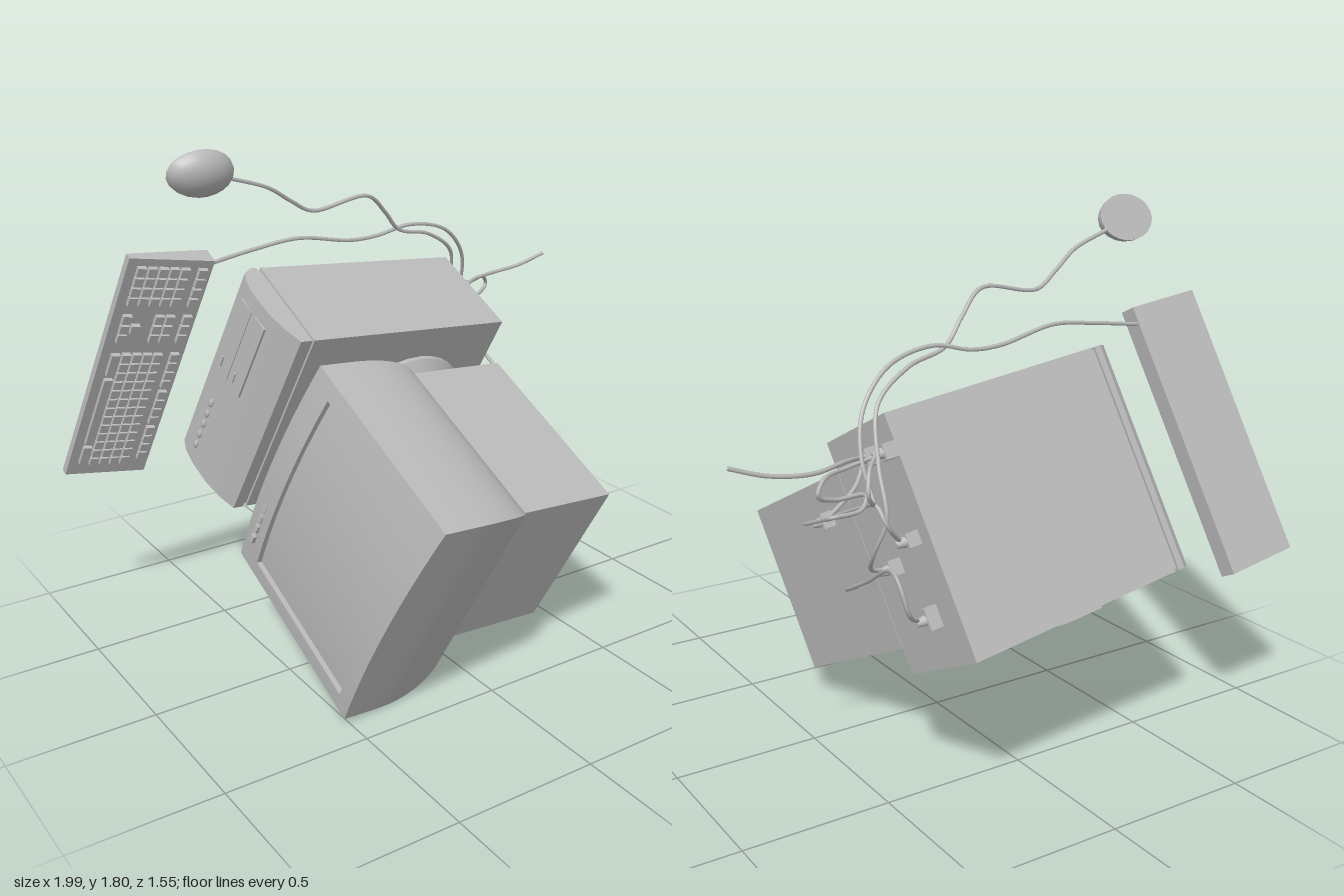
import * as THREE from 'three';
import { toCreasedNormals } from 'three/addons/utils/BufferGeometryUtils.js';

const casingGrey = new THREE.MeshStandardMaterial({ color: 0xbababa });
casingGrey.name = 'casingGrey';

function add(parent, name, geometry) {
  const mesh = new THREE.Mesh(geometry, casingGrey);
  mesh.name = name;
  parent.add(mesh);
  return mesh;
}

// Box given by its extents on each axis
function block(parent, name, x0, x1, y0, y1, z0, z1, segX = 1) {
  const g = new THREE.BoxGeometry(x1 - x0, y1 - y0, z1 - z0, segX, 1, 1);
  g.translate((x0 + x1) / 2, (y0 + y1) / 2, (z0 + z1) / 2);
  return add(parent, name, g);
}

// Side profile of [z, y] points swept across the width
function sweepX(profile, x0, x1) {
  const shape = new THREE.Shape(profile.map(p => new THREE.Vector2(p[0], p[1])));
  const g = new THREE.ExtrudeGeometry(shape, { depth: x1 - x0, bevelEnabled: false });
  g.rotateY(-Math.PI / 2);
  g.translate(x1, 0, 0);
  return toCreasedNormals(g, 0.5);
}

// Rectangular rings [x0, x1, y0, y1, z] ordered front to back, with a front cap
function loftRects(rings) {
  const pos = [];
  const corners = ([x0, x1, y0, y1, z]) => [[x0, y0, z], [x1, y0, z], [x1, y1, z], [x0, y1, z]];
  const quad = (a, b, c, d) => pos.push(...a, ...b, ...c, ...a, ...c, ...d);
  quad(...corners(rings[0]));
  for (let i = 0; i < rings.length - 1; i++) {
    const f = corners(rings[i]), r = corners(rings[i + 1]);
    for (let k = 0; k < 4; k++) {
      const n = (k + 1) % 4;
      quad(f[k], r[k], r[n], f[n]);
    }
  }
  const g = new THREE.BufferGeometry();
  g.setAttribute('position', new THREE.Float32BufferAttribute(pos, 3));
  g.computeVertexNormals();
  return toCreasedNormals(g, 0.6);
}

function buildCase() {
  const g = new THREE.Group();
  g.name = 'desktopCase';
  block(g, 'caseBody', -0.257, 0.52, -0.575, -0.19, -0.447, 0.385);
  block(g, 'caseGroove', -0.249, 0.512, -0.567, -0.198, 0.38, 0.405);
  const panel = [[0.4, -0.575], [0.425, -0.575], [0.462, -0.548], [0.478, -0.5], [0.485, -0.43],
    [0.48, -0.33], [0.464, -0.255], [0.438, -0.19], [0.4, -0.19]];
  add(g, 'caseFrontPanel', sweepX(panel, -0.257, 0.52));
  // Drive slots and buttons
  for (const y of [-0.36, -0.45]) {
    block(g, 'driveDoor', -0.2, 0.1, y - 0.035, y + 0.035, 0.47, 0.487);
    block(g, 'driveLatch', 0.04, 0.08, y - 0.028, y - 0.016, 0.48, 0.492);
  }
  for (let i = 0; i < 5; i++) {
    const b = add(g, 'panelButton', new THREE.SphereGeometry(0.018, 10, 6));
    b.scale.set(1, 0.7, 0.4);
    b.position.set(0.24 + i * 0.05, -0.45, 0.486);
  }
  return g;
}

function buildMonitor() {
  const g = new THREE.Group();
  g.name = 'monitor';
  block(g, 'monitorBody', -0.166, 0.446, -0.075, 0.595, -0.385, 0.06);

  // Front shell narrowing to the body along a quarter ellipse
  const rings = [[-0.28, 0.6, -0.05, 0.688, 0.42]];
  for (let i = 0; i <= 8; i++) {
    const a = i / 8 * Math.PI / 2, s = 1 - Math.cos(a);
    rings.push([-0.28 + 0.114 * s, 0.6 - 0.154 * s, -0.05, 0.688 - 0.093 * s, 0.32 - 0.29 * Math.sin(a)]);
  }
  add(g, 'monitorShell', loftRects(rings));

  // Bezel bars and screen bulge forward across the width
  const bow = (mesh, amount) => {
    const p = mesh.geometry.attributes.position;
    for (let i = 0; i < p.count; i++) {
      const t = (p.getX(i) - 0.16) / 0.44;
      if (p.getZ(i) > 0.425) p.setZ(i, p.getZ(i) + amount * (1 - t * t));
    }
    mesh.geometry = toCreasedNormals(mesh.geometry, 0.5);
  };
  for (const [x0, x1, y0, y1] of [[-0.28, 0.6, 0.63, 0.688], [-0.28, 0.6, -0.05, 0.05],
    [-0.28, -0.22, 0.05, 0.63], [0.54, 0.6, 0.05, 0.63]]) {
    bow(block(g, 'bezelBar', x0, x1, y0, y1, 0.42, 0.455, 12), 0.032);
  }
  bow(block(g, 'screen', -0.22, 0.54, 0.05, 0.63, 0.42, 0.435, 12), 0.035);
  for (let i = 0; i < 4; i++) {
    block(g, 'monitorButton', 0.3 + i * 0.05, 0.33 + i * 0.05, -0.01, 0.01, 0.46, 0.485);
  }

  // Swivel foot
  const foot = [[0, -0.19], [0.27, -0.19], [0.272, -0.175], [0.25, -0.15], [0.22, -0.122], [0.19, -0.1], [0.19, -0.07]];
  const lathe = new THREE.LatheGeometry(foot.map(p => new THREE.Vector2(p[0], p[1])), 32);
  add(g, 'swivelFoot', toCreasedNormals(lathe, 0.6)).position.set(0.14, 0, -0.12);
  return g;
}

function buildKeyboard() {
  const g = new THREE.Group();
  g.name = 'keyboard';
  const profile = [[0.62, -0.575], [0.91, -0.575], [0.91, -0.55], [0.62, -0.515]];
  add(g, 'keyboardBase', sweepX(profile, -0.345, 0.61));
  const tilt = Math.atan2(0.035, 0.29);
  const key = (x, z, w = 0.033, d = 0.03) => {
    const k = add(g, 'key', new THREE.BoxGeometry(w, 0.022, d));
    k.position.set(x, -0.51 - (z - 0.62) * 0.121, z);
    k.rotation.x = tilt;
  };
  const grid = (x0, cols, z0, rows) => {
    for (let r = 0; r < rows; r++) for (let c = 0; c < cols; c++) key(x0 + c * 0.04, z0 + r * 0.037);
  };
  grid(-0.3, 4, 0.655, 1);    // number pad
  grid(-0.3, 4, 0.715, 5);
  grid(-0.105, 3, 0.655, 1);  // navigation and arrows
  grid(-0.105, 3, 0.715, 2);
  grid(-0.105, 3, 0.863, 1);
  key(-0.065, 0.826);
  for (const x of [0.06, 0.23, 0.4]) grid(x, 4, 0.655, 1);  // function row
  grid(0.06, 13, 0.715, 4);   // main block
  key(0.09, 0.863, 0.09);
  key(0.305, 0.863, 0.3);     // long bar
  key(0.51, 0.863, 0.08);
  return g;
}

function buildMouse() {
  const g = new THREE.Group();
  g.name = 'mouse';
  add(g, 'mouseShell', new THREE.SphereGeometry(1, 20, 8, 0, Math.PI * 2, 0, Math.PI / 2));
  add(g, 'mouseBase', new THREE.CircleGeometry(1, 20).rotateX(Math.PI / 2));
  g.scale.set(0.083, 0.072, 0.115);
  g.position.set(-0.648, -0.578, 0.739);
  return g;
}

// Plug pointing out of the back of a housing
function buildPlug(parent, x, y, z, wide) {
  const g = new THREE.Group();
  g.name = 'plug';
  block(g, 'plugHousing', -wide / 2, wide / 2, -0.018, 0.018, -0.045, 0.005);
  const neck = add(g, 'plugNeck', new THREE.CylinderGeometry(0.018, 0.01, 0.035, 10).rotateX(Math.PI / 2));
  neck.position.z = -0.06;
  g.position.set(x, y, z);
  parent.add(g);
}

export function createModel() {
  const root = new THREE.Group();
  root.name = 'computerSet';

  // The whole set is tilted: its back points to +x and its top to +z
  const back = new THREE.Vector3(0.99, -0.11, -0.08).normalize();
  const right = back.clone().cross(new THREE.Vector3(0.023, -0.445, 0.896)).normalize();
  const up = right.clone().cross(back).normalize();
  const set = new THREE.Group();
  set.name = 'tiltedSet';
  set.quaternion.setFromRotationMatrix(new THREE.Matrix4().makeBasis(right, up, back.clone().negate()));
  set.position.set(0, 0.8, 0);
  root.add(set);
  set.add(buildCase(), buildMonitor(), buildKeyboard(), buildMouse());

  // Plugs on the case and monitor backs, placed from a point on the back face
  const plugs = [[0.45, 1.09, -0.37, 0.055, -0.447], [0.45, 1.13, -0.47, 0.05, -0.447],
    [0.416, 0.87, -0.54, 0.045, -0.447], [0.385, 0.635, -0.6, 0.07, -0.447],
    [0.41, 0.745, -0.43, 0.05, -0.447], [0.388, 0.755, 0.05, 0.055, -0.385]];
  for (const [x, y, z, wide, face] of plugs) {
    const q = new THREE.Vector3(x, y - 0.8, z);
    buildPlug(set, q.dot(right), q.dot(up), face, wide);
  }

  const cables = {
    mouseCable: [[-0.55, 1.68, -0.2], [-0.4, 1.63, -0.22], [-0.3, 1.57, -0.25], [-0.2, 1.52, -0.28],
      [0.02, 1.545, -0.29], [0.12, 1.47, -0.33], [0.2, 1.39, -0.36], [0.35, 1.35, -0.39], [0.48, 1.26, -0.43],
      [0.52, 1.1, -0.5], [0.53, 0.95, -0.56], [0.55, 0.84, -0.52], [0.52, 0.76, -0.45], [0.46, 0.742, -0.43]],
    keyboardCable: [[-0.59, 1.375, -0.33], [-0.4, 1.4, -0.345], [-0.22, 1.415, -0.35], [0.0, 1.375, -0.37],
      [0.12, 1.375, -0.38], [0.25, 1.4, -0.37], [0.42, 1.36, -0.39], [0.53, 1.25, -0.43], [0.565, 1.12, -0.48],
      [0.56, 1.0, -0.54], [0.6, 1.04, -0.58], [0.58, 1.1, -0.55], [0.52, 1.12, -0.48]],
    powerCable: [[0.992, 1.166, -0.5], [0.88, 1.13, -0.515], [0.75, 1.115, -0.52], [0.6, 1.115, -0.46], [0.5, 1.09, -0.38]],
    looseLoop: [[0.5, 1.12, -0.47], [0.62, 1.105, -0.49], [0.72, 1.1, -0.54], [0.75, 1.06, -0.56], [0.68, 1.03, -0.53],
      [0.57, 1.02, -0.51], [0.6, 0.99, -0.54], [0.71, 0.99, -0.56], [0.7, 0.975, -0.52], [0.57, 1.03, -0.45], [0.5, 1.09, -0.38]],
    videoCable: [[0.43, 0.755, 0.05], [0.5, 0.765, 0.02], [0.525, 0.84, -0.17], [0.54, 0.95, -0.42],
      [0.55, 0.99, -0.54], [0.54, 0.94, -0.58], [0.47, 0.865, -0.54]],
    monitorPowerCable: [[0.35, 0.54, -0.06], [0.42, 0.56, -0.11], [0.48, 0.68, -0.35], [0.53, 0.8, -0.58],
      [0.55, 0.79, -0.66], [0.53, 0.7, -0.68], [0.45, 0.632, -0.6]],
  };
  for (const [name, pts] of Object.entries(cables)) {
    const curve = new THREE.CatmullRomCurve3(pts.map(p => new THREE.Vector3(...p)));
    add(root, name, new THREE.TubeGeometry(curve, pts.length * 6, 0.007, 6));
  }
  return root;
}
